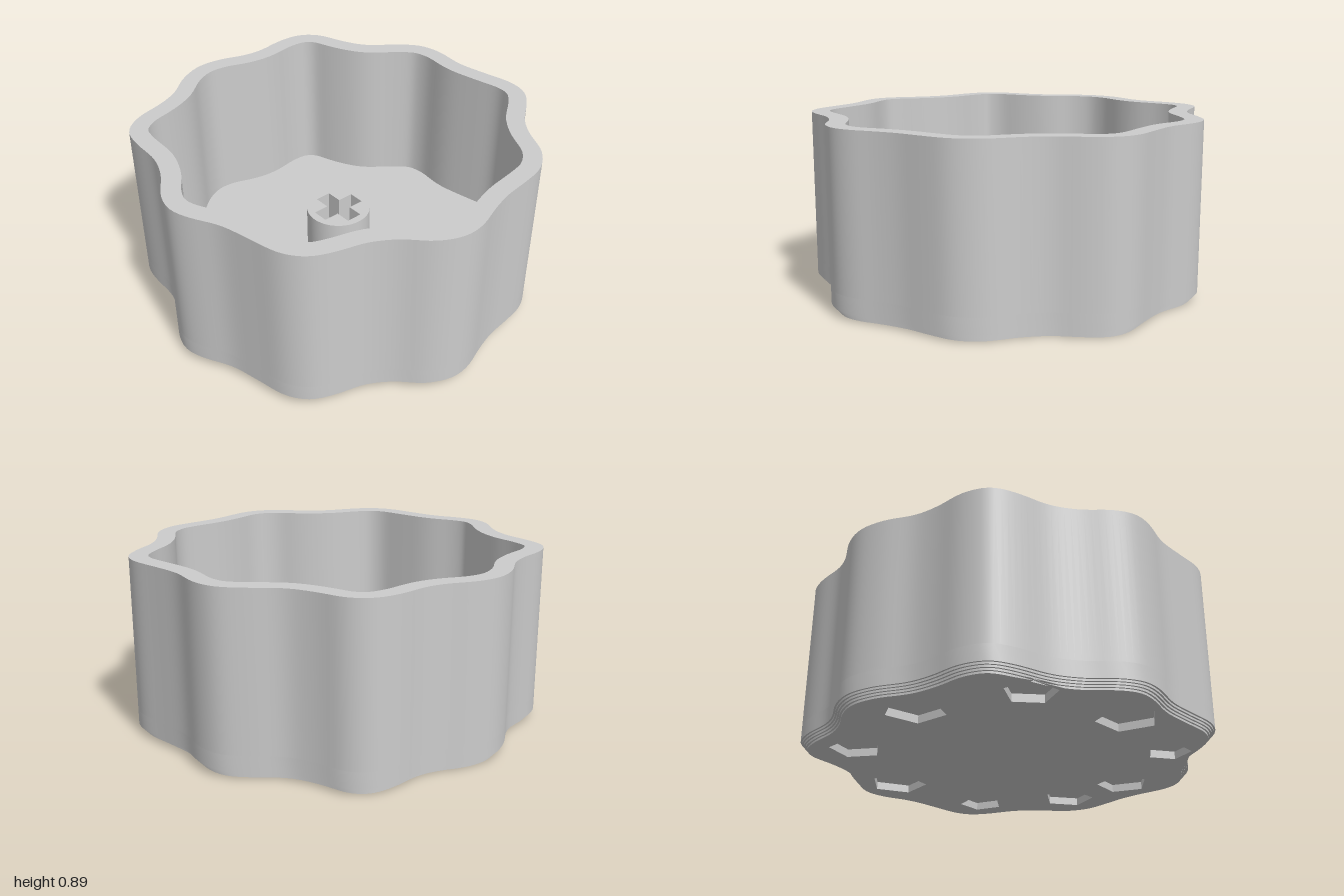
import * as THREE from 'three';
import { toCreasedNormals } from 'three/addons/utils/BufferGeometryUtils.js';

const HEIGHT = 0.895, FLOOR = 0.12, POST_TOP = 0.405, WALL = 0.093;
const STEPS = 4, STEP_HEIGHT = 0.01, STEP_INSET = 0.009;
const CENTRE = [-0.018, -0.009];

// Nine-lobed outline as x, z pairs
const OUTLINE = [
  0.25, -1.002, 0.36, -0.975, 0.455, -0.88, 0.535, -0.768, 0.635, -0.685, 0.785, -0.6,
  0.872, -0.485, 0.90, -0.345, 0.915, -0.21, 0.95, -0.08, 0.992, 0.04, 0.996, 0.15,
  0.94, 0.27, 0.83, 0.38, 0.755, 0.50, 0.72, 0.62, 0.665, 0.745, 0.57, 0.82,
  0.41, 0.86, 0.25, 0.90, 0.11, 0.972, 0.005, 1.0, -0.105, 0.97, -0.235, 0.885,
  -0.37, 0.835, -0.555, 0.825, -0.67, 0.795, -0.75, 0.69, -0.79, 0.54, -0.84, 0.42,
  -0.94, 0.295, -0.998, 0.16, -0.99, 0.02, -0.945, -0.105, -0.93, -0.21, -0.95, -0.37,
  -0.935, -0.5, -0.862, -0.587, -0.72, -0.64, -0.59, -0.71, -0.488, -0.835, -0.385, -0.935,
  -0.26, -0.966, -0.085, -0.95, 0.085, -0.975,
];

// Underside pockets: x, z, radius
const POCKETS = [
  [0.72, -0.01, 0.137], [0.587, 0.50, 0.112], [0.146, 0.704, 0.15],
  [-0.392, 0.699, 0.126], [-0.704, 0.245, 0.147], [-0.71, -0.334, 0.13],
  [-0.283, -0.692, 0.15], [0.276, -0.732, 0.118], [0.628, -0.373, 0.137],
];

// Smooth closed curve, counter-clockwise in a plane with y = -z
function sampleOutline() {
  const knots = [];
  for (let i = 0; i < OUTLINE.length; i += 2) knots.unshift(new THREE.Vector3(OUTLINE[i], -OUTLINE[i + 1], 0));
  const raw = new THREE.CatmullRomCurve3(knots, true).getSpacedPoints(200).slice(0, 200);
  return raw.map((_, i) => {
    const p = new THREE.Vector2();
    for (let k = -1; k <= 1; k++) {
      const q = raw[(i + k + 200) % 200];
      p.x += q.x / 3;
      p.y += q.y / 3;
    }
    return p;
  });
}

// Moves every outline point inwards along its normal
function inset(points, distance) {
  const n = points.length;
  return points.map((p, i) => {
    const t = points[(i + 1) % n].clone().sub(points[(i + n - 1) % n]).normalize();
    return new THREE.Vector2(p.x - t.y * distance, p.y + t.x * distance);
  });
}

function pentagon([x, z, r]) {
  const turn = Math.atan2(-z, x);
  return Array.from({ length: 5 }, (_, i) => {
    const a = turn + (i * Math.PI * 2) / 5;
    return new THREE.Vector2(x + r * Math.cos(a), -z + r * Math.sin(a));
  });
}

// Extrudes a flat profile upwards from y0 to y1
function slab(name, points, holes, y0, y1, material) {
  const shape = new THREE.Shape(points);
  shape.holes = holes.map((h) => new THREE.Path(h));
  const geometry = new THREE.ExtrudeGeometry(shape, { depth: y1 - y0, bevelEnabled: false });
  geometry.rotateX(-Math.PI / 2).translate(0, y0, 0);
  const mesh = new THREE.Mesh(toCreasedNormals(geometry, 0.6), material);
  mesh.name = name;
  return mesh;
}

export function createModel() {
  const group = new THREE.Group();
  group.name = 'lobedKnob';
  const grey = new THREE.MeshStandardMaterial({ color: 0xcccccc });
  grey.name = 'light grey';

  const outer = sampleOutline();
  const pockets = POCKETS.map(pentagon);

  // Stepped lower edge with pentagonal pockets
  for (let i = 0; i < STEPS; i++) {
    const profile = inset(outer, STEP_INSET * (STEPS - i));
    group.add(slab('edgeStep' + (i + 1), profile, pockets, i * STEP_HEIGHT, (i + 1) * STEP_HEIGHT, grey));
  }

  // Floor and hollow wall
  group.add(slab('floor', outer, [], STEPS * STEP_HEIGHT, FLOOR, grey));
  group.add(slab('wall', outer, [inset(outer, WALL)], FLOOR, HEIGHT, grey));

  // Central post with a cross-shaped socket
  const [cx, cz] = CENTRE;
  const circle = Array.from({ length: 64 }, (_, i) => {
    const a = (i * Math.PI) / 32;
    return new THREE.Vector2(cx + 0.165 * Math.cos(a), -cz + 0.165 * Math.sin(a));
  });
  const a = 0.042, b = 0.125, cross = [];
  for (let k = 0; k < 4; k++) {
    for (const [x, y] of [[b, -a], [b, a], [a, a]]) {
      cross.push(new THREE.Vector2(x, y).rotateAround(new THREE.Vector2(), (k * Math.PI) / 2)
        .add(new THREE.Vector2(cx, -cz)));
    }
  }
  group.add(slab('socketPost', circle, [cross], FLOOR, POST_TOP, grey));

  return group;
}
